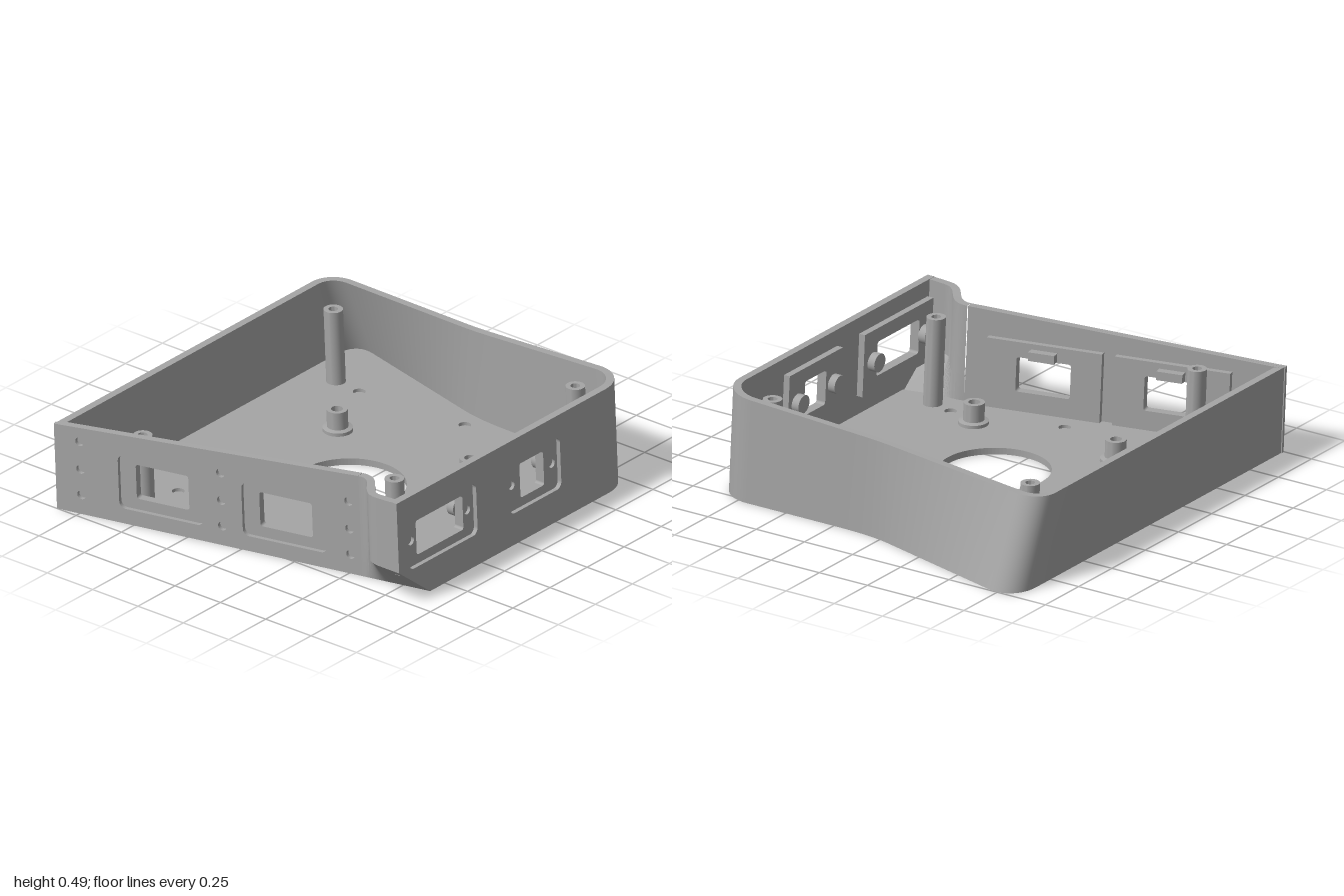
import * as THREE from 'three';
import { toCreasedNormals } from 'three/addons/utils/BufferGeometryUtils.js';

const T = 0.035;            // wall thickness
const FLOOR = 0.03;         // floor thickness
const BACK = -0.855, FRONT = 0.875;
const SLOPE = 0.2316;       // slant of the left-hand side wall
const rim = (z) => 0.4 + (z - BACK) * 0.0503;
const slantX = (z) => -1 + (z - BACK) * SLOPE;
const V = (x, z) => new THREE.Vector2(x, z);

// Samples a chain of lines ([x, z]) and cubic curves ([x1, z1, x2, z2, x, z])
function samplePath(start, segments, n = 14) {
  let p = V(...start);
  const out = [p];
  for (const s of segments) {
    const end = V(...s.slice(-2));
    const curve = s.length === 2 ? new THREE.LineCurve(p, end)
      : new THREE.CubicBezierCurve(p, V(s[0], s[1]), V(s[2], s[3]), end);
    out.push(...curve.getPoints(n).slice(1));
    p = end;
  }
  return out;
}

// Moves a path inwards by d
function inset(path, d) {
  return path.map((p, i) => {
    const a = path[Math.max(i - 1, 0)], b = path[Math.min(i + 1, path.length - 1)];
    const t = b.clone().sub(a).normalize();
    const q = V(p.x + t.y * d, p.y - t.x * d);
    q.x = Math.max(q.x, slantX(q.y) - (q.y > 0.5 ? 0.3 : 0));
    return q;
  });
}

// Wall skinned over levels [path, height function], outside and inside
function loftWall(levels) {
  const loop = [
    ...levels.map(([path, y]) => [path, path, y]),
    ...levels.map(([path, y]) => [inset(path, T), path, y]).reverse(),
  ];
  const pos = [];
  const at = (k, i) => {
    const [pts, ref, y] = loop[k % loop.length];
    return [pts[i].x, y(ref[i].y), pts[i].y];
  };
  for (let i = 0; i < levels[0][0].length - 1; i++) {
    for (let k = 0; k < loop.length; k++) {
      const a = at(k, i), b = at(k, i + 1), c = at(k + 1, i + 1), d = at(k + 1, i);
      pos.push(...a, ...b, ...c, ...a, ...c, ...d);
    }
  }
  const g = new THREE.BufferGeometry();
  g.setAttribute('position', new THREE.Float32BufferAttribute(pos, 3));
  return toCreasedNormals(g, 0.5);
}

const poly = (pts) => new THREE.Shape(pts.map(([x, y]) => V(x, y)));

function roundRect(x0, x1, y0, y1, r) {
  const s = new THREE.Shape();
  s.absarc(x1 - r, y0 + r, r, -Math.PI / 2, 0);
  s.absarc(x1 - r, y1 - r, r, 0, Math.PI / 2);
  s.absarc(x0 + r, y1 - r, r, Math.PI / 2, Math.PI);
  s.absarc(x0 + r, y0 + r, r, Math.PI, Math.PI * 1.5);
  return s;
}

const circle = (x, y, r) => new THREE.Path().absarc(x, y, r, 0, Math.PI * 2);

// Plate cut through by holes, lying between depths z0 and z1
function plate(shape, holes, z0, z1) {
  const s = shape.clone();
  s.holes = holes;
  return new THREE.ExtrudeGeometry(s, { depth: z1 - z0, bevelEnabled: false, curveSegments: 16 })
    .translate(0, 0, z0);
}

function lathe(profile, x, z) {
  const g = new THREE.LatheGeometry(profile.map(([r, y]) => V(r, y)), 32);
  return toCreasedNormals(g, 0.6).translate(x, 0, z);
}

export function createModel() {
  const group = new THREE.Group();
  const grey = new THREE.MeshStandardMaterial({ color: 0xa5a5a5 });
  grey.name = 'plain grey';
  // The whole case leans slightly backwards
  const lean = new THREE.Matrix4().set(1, 0, 0, 0, 0, 1, 0, 0, 0, -0.045, 1, 0, 0, 0, 0, 1);
  const add = (name, geo, frame) => {
    if (frame) geo.applyMatrix4(frame);
    const mesh = new THREE.Mesh(geo.applyMatrix4(lean), grey);
    mesh.name = name;
    group.add(mesh);
  };

  // Right-hand side and back wall, flared at the back corner
  const corner = [0.702, FRONT, 0.78, 0.797, 0.78, 0.705];
  const lower = samplePath([0.61, FRONT], [corner, [0.78, 0.3],
    [0.78, 0.15, 0.783, 0.05, 0.81, -0.05], [0.992, -0.7],
    [1.018, -0.79, 0.96, BACK, 0.86, BACK], [-1, BACK]]);
  const upper = samplePath([0.61, FRONT], [corner, [0.78, 0.3],
    [0.78, 0.15, 0.778, 0.08, 0.785, -0.02], [0.85, -0.72],
    [0.857, -0.8, 0.81, BACK, 0.74, BACK], [-1, BACK]]);
  add('sideAndBackWall', loftWall([[lower, () => 0], [upper, rim]]));

  // Bulged front corner, tapering to the straight floor edge
  const bulgeTop = samplePath([slantX(0.56), 0.56],
    [[-0.652, 0.645, -0.8, 0.655, -0.8, 0.76], [-0.8, FRONT]]);
  const bulgeLow = bulgeTop.map((p) => V(Math.max(p.x, slantX(p.y)), p.y));
  add('bulgedCorner', loftWall([[bulgeLow, () => 0], [bulgeTop, () => 0.16], [bulgeTop, rim]]));

  // Floor with round opening and blind holes
  const floorPts = inset(lower, 0.015).map((p) => [p.x, -p.y]);
  floorPts.push([slantX(0.86) + 0.015, -0.86]);
  const floorShape = poly(floorPts);
  const opening = () => new THREE.Path().absarc(-0.075, -0.005, 0.243, 0, Math.PI * 2);
  const pits = [[-0.59, -0.52], [0.63, -0.52], [-0.635, 0.03], [0.67, 0.03], [-0.51, 0.535], [0.67, 0.535]]
    .map(([x, z]) => circle(x, -z, 0.027));
  const flat = new THREE.Matrix4().makeRotationX(-Math.PI / 2);
  const floorLayer = (holes, z0, z1) => new THREE.ExtrudeGeometry(
    Object.assign(floorShape.clone(), { holes }),
    { depth: z1 - z0, bevelEnabled: false, curveSegments: 48 }).translate(0, 0, z0);
  add('floorBase', floorLayer([opening()], 0, 0.015), flat);
  add('floorTop', floorLayer([opening(), ...pits], 0.015, FLOOR), flat);

  // Front wall: outer layer with recesses, inner layer with openings
  const frontFrame = new THREE.Matrix4().makeTranslation(0, 0, FRONT);
  const frontShape = poly([[slantX(FRONT), 0], [0.61, 0], [0.61, rim(FRONT)], [-0.8, rim(FRONT)], [-0.8, 0.16]]);
  const ports = [
    { recess: [-0.73, -0.27], hole: [-0.655, -0.34], screws: [-0.69, -0.31], pad: [-0.755, -0.24] },
    { recess: [-0.05, 0.295], hole: [0.045, 0.205], screws: [-0.012, 0.26], pad: [-0.075, 0.325] },
  ];
  const portHole = (p) => roundRect(...p.hole, 0.185, 0.345, 0.012);
  const screwHoles = ports.flatMap((p) => p.screws.map((x) => circle(x, 0.265, 0.02)));
  add('frontWallOuter', plate(frontShape, ports.map((p) => roundRect(...p.recess, 0.145, 0.385, 0.03)), -0.02, 0), frontFrame);
  add('frontWallInner', plate(frontShape, [...ports.map(portHole), ...screwHoles], -T, -0.02), frontFrame);
  for (const p of ports) {
    const [a, b] = p.pad;
    add('frontPad', plate(poly([[a, 0.12], [b, 0.12], [b, 0.41], [a, 0.41]]), [portHole(p)], -0.065, -T), frontFrame);
    for (const x of p.screws) {
      add('frontBoss', new THREE.CylinderGeometry(0.042, 0.042, 0.036, 28)
        .rotateX(Math.PI / 2).translate(x, 0.265, -0.082), frontFrame);
    }
  }

  // Slanted wall with two windows and columns of screw holes
  const u = new THREE.Vector3(SLOPE, 0, 1).normalize();
  const slantFrame = new THREE.Matrix4()
    .makeBasis(u, new THREE.Vector3(0, 1, 0), new THREE.Vector3(-u.z, 0, u.x))
    .setPosition(-1, 0, BACK);
  const len = (0.56 - BACK) / u.z;
  const slantShape = (s) => poly([[s, 0], [len, 0], [len, rim(0.56)], [s, rim(BACK)]]);
  const windows = [0.5, 1.088];
  const windowHole = (c) => roundRect(c - 0.125, c + 0.125, 0.12, 0.28, 0.012);
  const columns = [0.12, 0.79, 1.4].flatMap((c) => [0.09, 0.21, 0.34].map((y) => circle(c, y, 0.02)));
  add('slantedWallOuter', plate(slantShape(0),
    [...windows.map((c) => roundRect(c - 0.2, c + 0.2, 0.07, 0.32, 0.03)), ...columns], -0.02, 0), slantFrame);
  add('slantedWallInner', plate(slantShape(0.01), windows.map(windowHole), -T, -0.02), slantFrame);
  for (const c of windows) {
    add('slantedPad', plate(poly([[c - 0.265, FLOOR], [c + 0.265, FLOOR], [c + 0.265, 0.35], [c - 0.265, 0.35]]),
      [windowHole(c)], -0.06, -T), slantFrame);
    add('windowLatch', new THREE.BoxGeometry(0.12, 0.04, 0.036).translate(c, 0.305, -0.077), slantFrame);
  }

  // Short flanged standoffs around the opening
  for (const x of [-0.45, 0.29]) {
    for (const z of [-0.36, 0.375]) {
      add('standoff', lathe([[0.066, 0.02], [0.066, 0.045], [0.046, 0.05], [0.046, 0.13],
        [0.026, 0.13], [0.026, 0.06], [0, 0.06]], x, z));
    }
  }

  // Tall lid posts in the corners
  for (const [x, z] of [[-0.805, -0.525], [0.645, -0.66], [-0.535, 0.645], [0.63, 0.69]]) {
    const h = rim(z) - 0.04;
    add('lidPost', lathe([[0.042, 0.02], [0.042, h], [0.021, h], [0.021, h - 0.08], [0, h - 0.08]], x, z));
  }
  return group;
}
